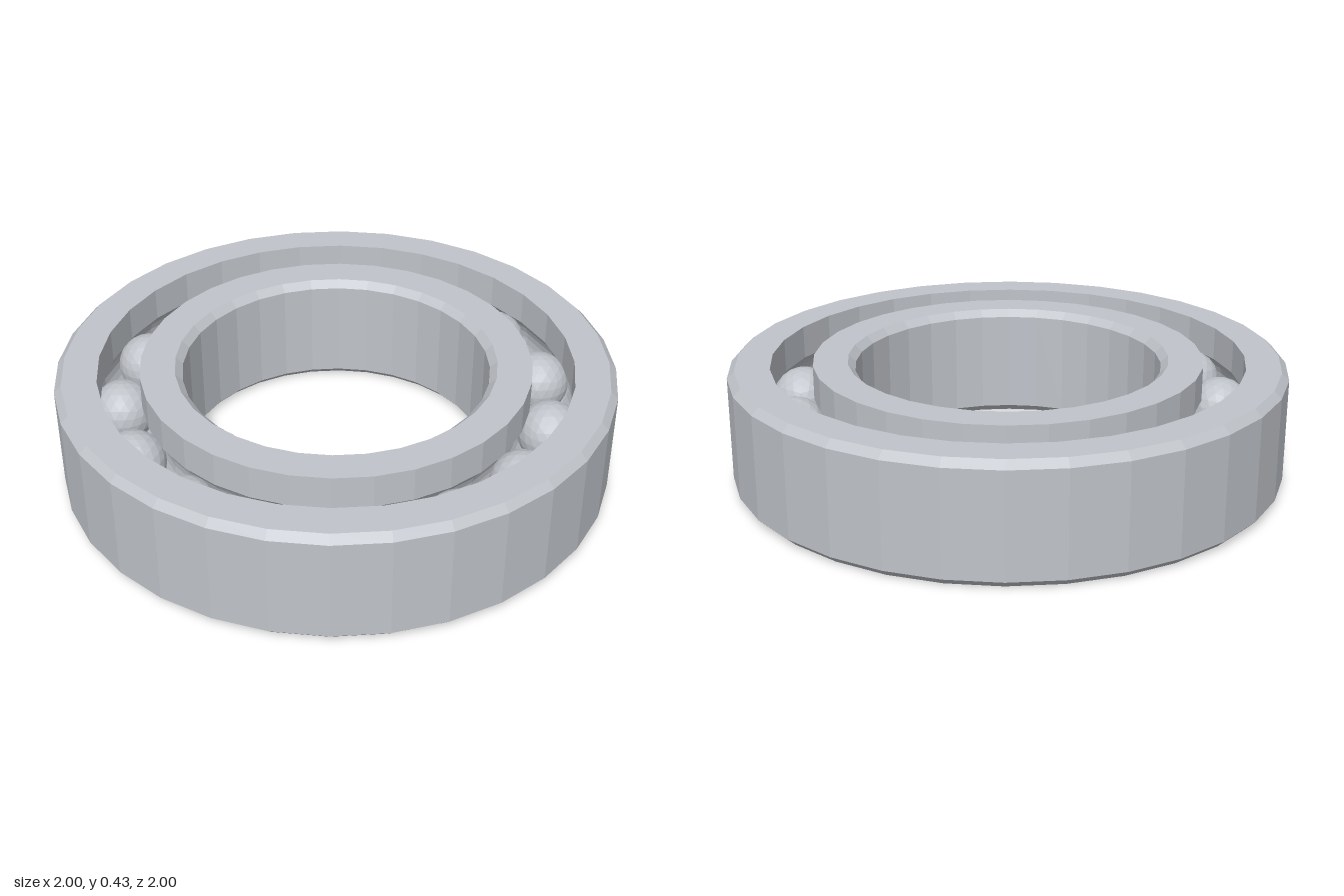
import * as THREE from 'three';

const HEIGHT = 0.425, MID = HEIGHT / 2;
const BALL_ORBIT = 0.775, BALL_RADIUS = 0.115, GROOVE_RADIUS = 0.117;
const BALLS = 15, SIDES = 32;

// Arc of the ball groove in a ring wall; side is +1 for the outer ring, -1 for the inner
function groove(wallRadius, side) {
  const half = Math.acos(Math.abs(wallRadius - BALL_ORBIT) / GROOVE_RADIUS);
  const points = [];
  for (let i = 0; i <= 8; i++) {
    const a = half - (2 * half * i) / 8;
    points.push([
      BALL_ORBIT + side * GROOVE_RADIUS * Math.cos(a),
      MID + side * GROOVE_RADIUS * Math.sin(a),
    ]);
  }
  return points;
}

// Faceted ring from a closed counter-clockwise (radius, height) profile
function ring(name, profile, material) {
  const points = [...profile, profile[0]].map(([r, y]) => new THREE.Vector2(r, y));
  const geometry = new THREE.LatheGeometry(points, SIDES).toNonIndexed();
  geometry.computeVertexNormals();
  const mesh = new THREE.Mesh(geometry, material);
  mesh.name = name;
  return mesh;
}

export function createModel() {
  const group = new THREE.Group();
  group.name = 'ballBearing';
  const steel = new THREE.MeshStandardMaterial({ color: 0xc0c4ca });
  steel.name = 'steel';
  const c = 0.026; // chamfer

  // Outer ring: chamfered outside, grooved inside
  group.add(ring('outerRing', [
    [0.85, 0], [1 - c, 0], [1, c], [1, HEIGHT - c], [1 - c, HEIGHT], [0.85, HEIGHT],
    ...groove(0.85, 1),
  ], steel));

  // Inner ring: chamfered bore, grooved outside
  group.add(ring('innerRing', [
    [0.55 + c, 0], [0.7, 0],
    ...groove(0.7, -1),
    [0.7, HEIGHT], [0.55 + c, HEIGHT], [0.55, HEIGHT - c], [0.55, c],
  ], steel));

  // Balls, evenly spaced, with a vertex pointing up
  const ballGeometry = new THREE.IcosahedronGeometry(BALL_RADIUS, 3);
  ballGeometry.rotateX(-Math.atan((1 + Math.sqrt(5)) / 2));
  ballGeometry.computeVertexNormals();
  const balls = new THREE.Group();
  balls.name = 'balls';
  for (let i = 0; i < BALLS; i++) {
    const a = (i / BALLS) * Math.PI * 2;
    const ball = new THREE.Mesh(ballGeometry, steel);
    ball.name = 'ball' + (i + 1);
    ball.position.set(BALL_ORBIT * Math.cos(a), MID, BALL_ORBIT * Math.sin(a));
    balls.add(ball);
  }
  group.add(balls);
  return group;
}
